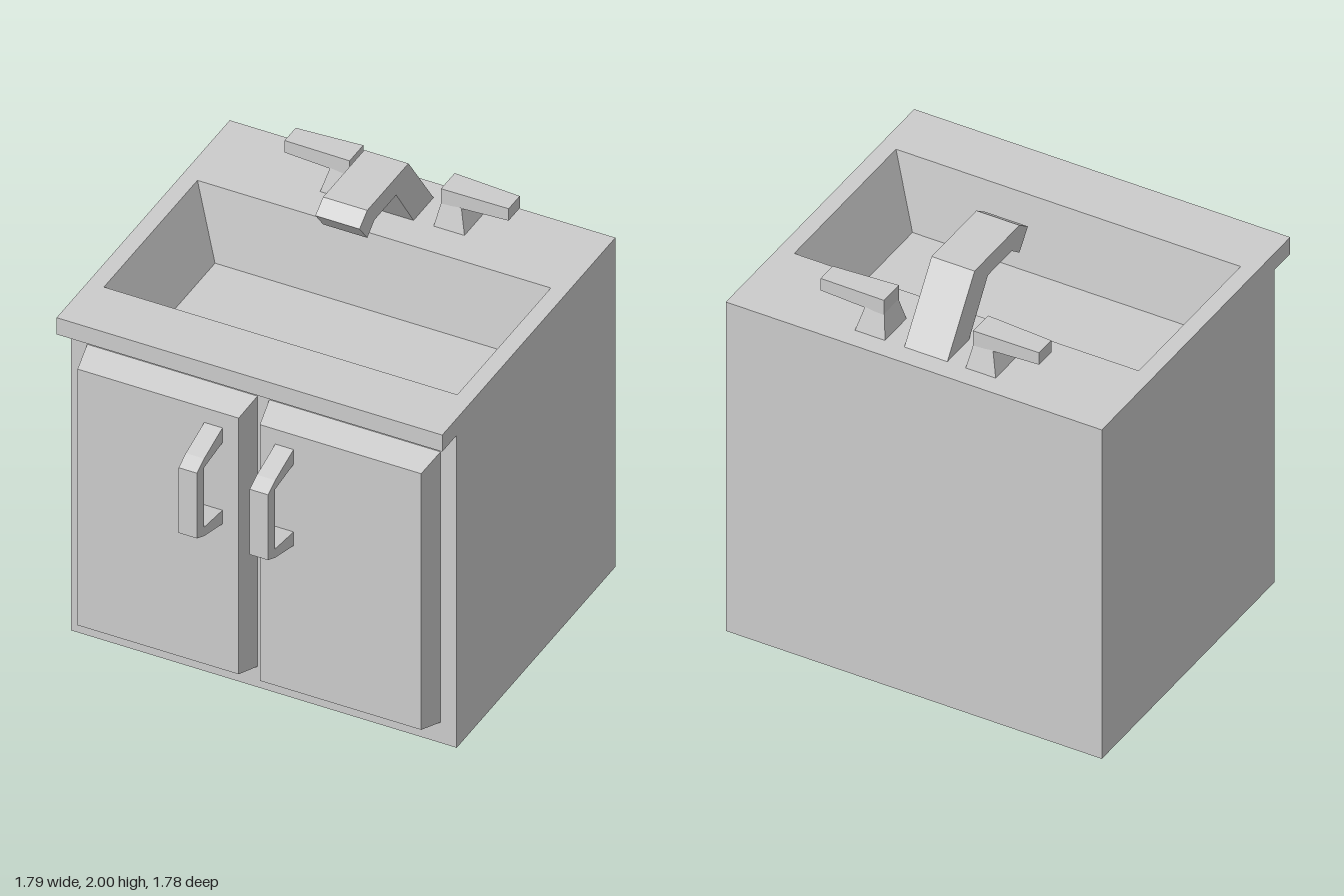
import * as THREE from 'three';

const material = new THREE.MeshStandardMaterial({ color: 0xcccccc, flatShading: true });

function addMesh(parent, name, geometry) {
  const mesh = new THREE.Mesh(geometry, material);
  mesh.name = name;
  parent.add(mesh);
  return mesh;
}

// Six-sided block whose low and high ends along an axis may differ.
// Each end is [[x0, x1], [y0, y1], [z0, z1]]; faces in `drop` are left open
// (0 +x, 1 -x, 2 +y, 3 -y, 4 +z, 5 -z).
function block(axis, low, high, drop = []) {
  const geometry = new THREE.BoxGeometry(1, 1, 1);
  const pos = geometry.attributes.position;
  for (let i = 0; i < pos.count; i++) {
    const side = [pos.getX(i), pos.getY(i), pos.getZ(i)].map((v) => (v > 0 ? 1 : 0));
    const end = side[axis] ? high : low;
    pos.setXYZ(i, end[0][side[0]], end[1][side[1]], end[2][side[2]]);
  }
  const index = Array.from(geometry.index.array);
  geometry.setIndex(index.filter((_, i) => !drop.includes(Math.floor(i / 6))));
  geometry.clearGroups();
  geometry.computeVertexNormals();
  return geometry;
}

// Side profile of [z, y] points, extruded from x0 to x1.
function sideProfile(points, x0, x1) {
  const shape = new THREE.Shape(points.map(([z, y]) => new THREE.Vector2(z, y)));
  const geometry = new THREE.ExtrudeGeometry(shape, { depth: x1 - x0, bevelEnabled: false });
  return geometry.rotateY(-Math.PI / 2).translate(x1, 0, 0);
}

const rectangle = (x0, x1, y0, y1) => [[x0, y0], [x1, y0], [x1, y1], [x0, y1]]
  .map(([x, y]) => new THREE.Vector2(x, y));

export function createModel() {
  const model = new THREE.Group();
  model.name = 'sinkCabinet';
  const W = 0.895, TOP = 1.68, BACK = -0.89, FACE = 0.535, LIP = 0.665;

  // Cabinet shell, open at the top where the counter closes it
  const shell = [[-W, W], [0, TOP], [BACK, FACE]];
  addMesh(model, 'cabinet', block(1, shell, shell, [2]));

  // Counter surface with the basin opening, and its overhanging front edge
  const counter = new THREE.Shape(rectangle(-W, W, -LIP, -BACK));
  counter.holes.push(new THREE.Path(rectangle(-0.82, 0.82, -0.385, 0.455)));
  const surface = new THREE.ShapeGeometry(counter).rotateX(-Math.PI / 2).translate(0, TOP, 0);
  addMesh(model, 'counterTop', surface);
  const lip = [[-W, W], [1.595, TOP], [FACE, LIP]];
  addMesh(model, 'counterLip', block(1, lip, lip, [2, 5]));

  // Basin: reversed x ranges turn the faces inwards
  const depth = [1.33, TOP];
  addMesh(model, 'basin', block(1,
    [[0.71, -0.71], depth, [-0.4, 0.33]],
    [[0.82, -0.82], depth, [-0.455, 0.385]], [2]));

  // Bevelled doors
  const doors = [
    ['rightDoor', [-0.82, -0.03], [-0.798, -0.05]],
    ['leftDoor', [0.025, 0.82], [0.048, 0.797]],
  ];
  for (const [name, outer, inner] of doors) {
    addMesh(model, name, block(2,
      [outer, [0.105, 1.485], [FACE, LIP]],
      [inner, [0.143, 1.45], [FACE, LIP]], [5]));
  }

  // Door handles
  const handle = [
    [LIP, 1.375], [0.83, 1.325], [0.895, 1.293], [0.895, 0.96], [0.83, 0.93],
    [LIP, 0.885], [LIP, 0.955], [0.83, 0.975], [0.83, 1.28], [LIP, 1.3],
  ];
  addMesh(model, 'rightDoorHandle', sideProfile(handle, -0.21, -0.125));
  addMesh(model, 'leftDoorHandle', sideProfile(handle, 0.12, 0.205));

  // Spout
  addMesh(model, 'spout', sideProfile([
    [-0.615, TOP], [-0.46, 1.91], [-0.265, 1.91], [-0.2, 1.86],
    [-0.13, 1.95], [-0.2, 2], [-0.57, 2], [-0.795, TOP],
  ], -0.105, 0.1));

  // Taps: a tapered foot and a lever narrowing outwards
  for (const s of [1, -1]) {
    const tap = new THREE.Group();
    tap.name = s > 0 ? 'leftTap' : 'rightTap';
    const span = (a, b) => (s > 0 ? [a, b] : [-b, -a]);
    addMesh(tap, 'tapFoot', block(1,
      [span(0.192, 0.335), [TOP, 1.79], [-0.795, -0.618]],
      [span(0.212, 0.305), [TOP, 1.79], [-0.765, -0.648]]));
    const lever = span(0.212, 0.52);
    const root = [lever, [1.785, 1.86], [-0.768, -0.645]];
    const tip = [lever, [1.792, 1.853], [-0.757, -0.657]];
    addMesh(tap, 'tapLever', s > 0 ? block(0, root, tip) : block(0, tip, root));
    model.add(tap);
  }

  return model;
}
